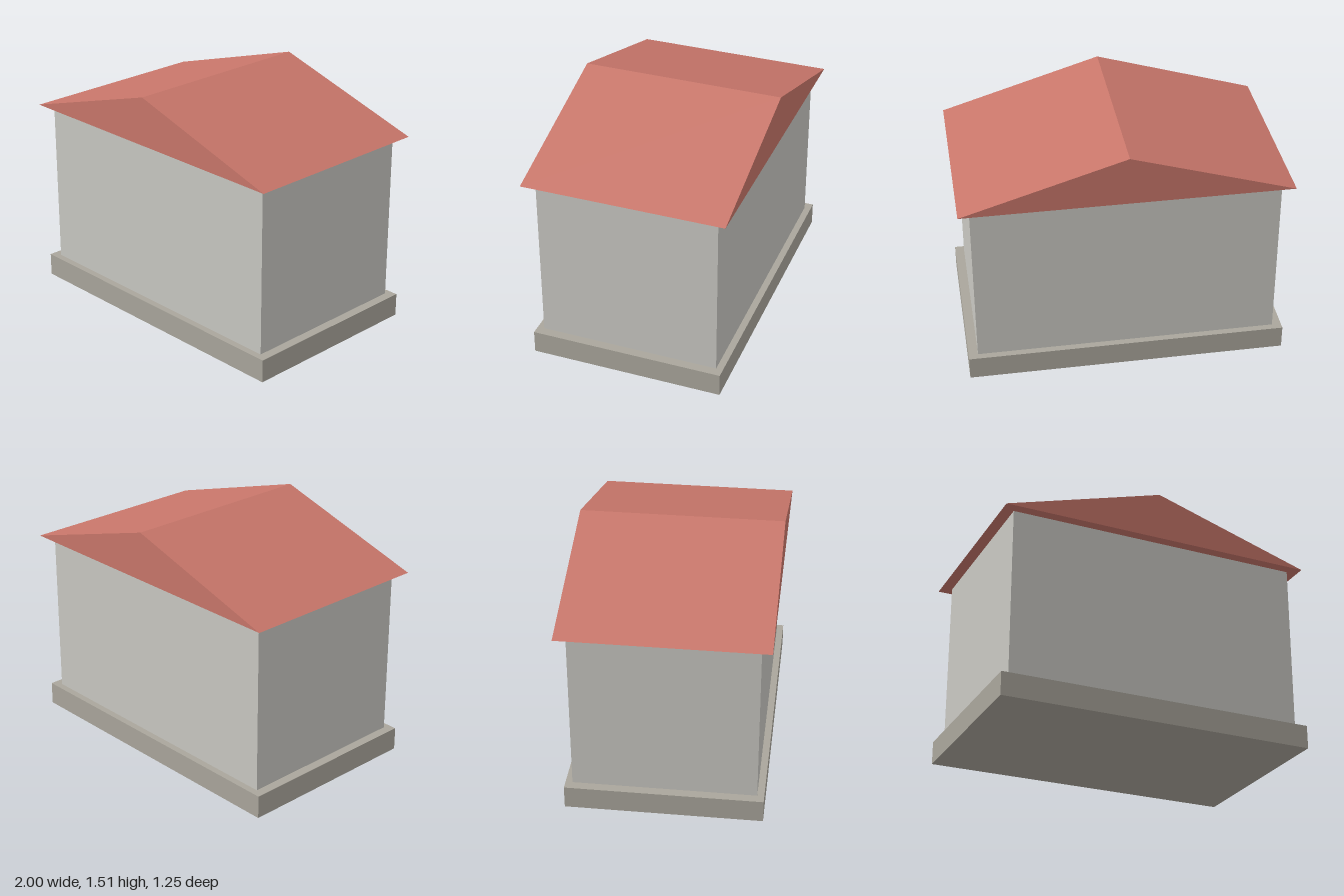
import * as THREE from 'three';

const material = (name, color) => {
  const m = new THREE.MeshStandardMaterial({ color });
  m.name = name;
  return m;
};

export function createModel() {
  const stone = material('plinth stone', 0xaaa69c);
  const plaster = material('wall plaster', 0xc9c8c2);
  const tile = material('roof red', 0xc8766a);

  const house = new THREE.Group();
  house.name = 'house';

  const add = (name, geometry, mat, y, z = 0) => {
    const mesh = new THREE.Mesh(geometry, mat);
    mesh.name = name;
    mesh.position.set(0, y, z);
    house.add(mesh);
  };

  const plinthHeight = 0.145, eaves = 1.205, ridge = 1.51, roofDepth = 1.25;
  const wallHeight = eaves - plinthHeight;

  // Base slab and plain walls
  add('plinth', new THREE.BoxGeometry(1.975, plinthHeight, 1.205), stone, plinthHeight / 2);
  add('walls', new THREE.BoxGeometry(1.86, wallHeight, 1.12), plaster, plinthHeight + wallHeight / 2);

  // Solid gable roof, ridge running front to back
  const gable = new THREE.Shape([
    new THREE.Vector2(-1, 0),
    new THREE.Vector2(1, 0),
    new THREE.Vector2(0, ridge - eaves),
  ]);
  const roof = new THREE.ExtrudeGeometry(gable, { depth: roofDepth, bevelEnabled: false });
  add('roof', roof, tile, eaves, -roofDepth / 2);

  return house;
}
